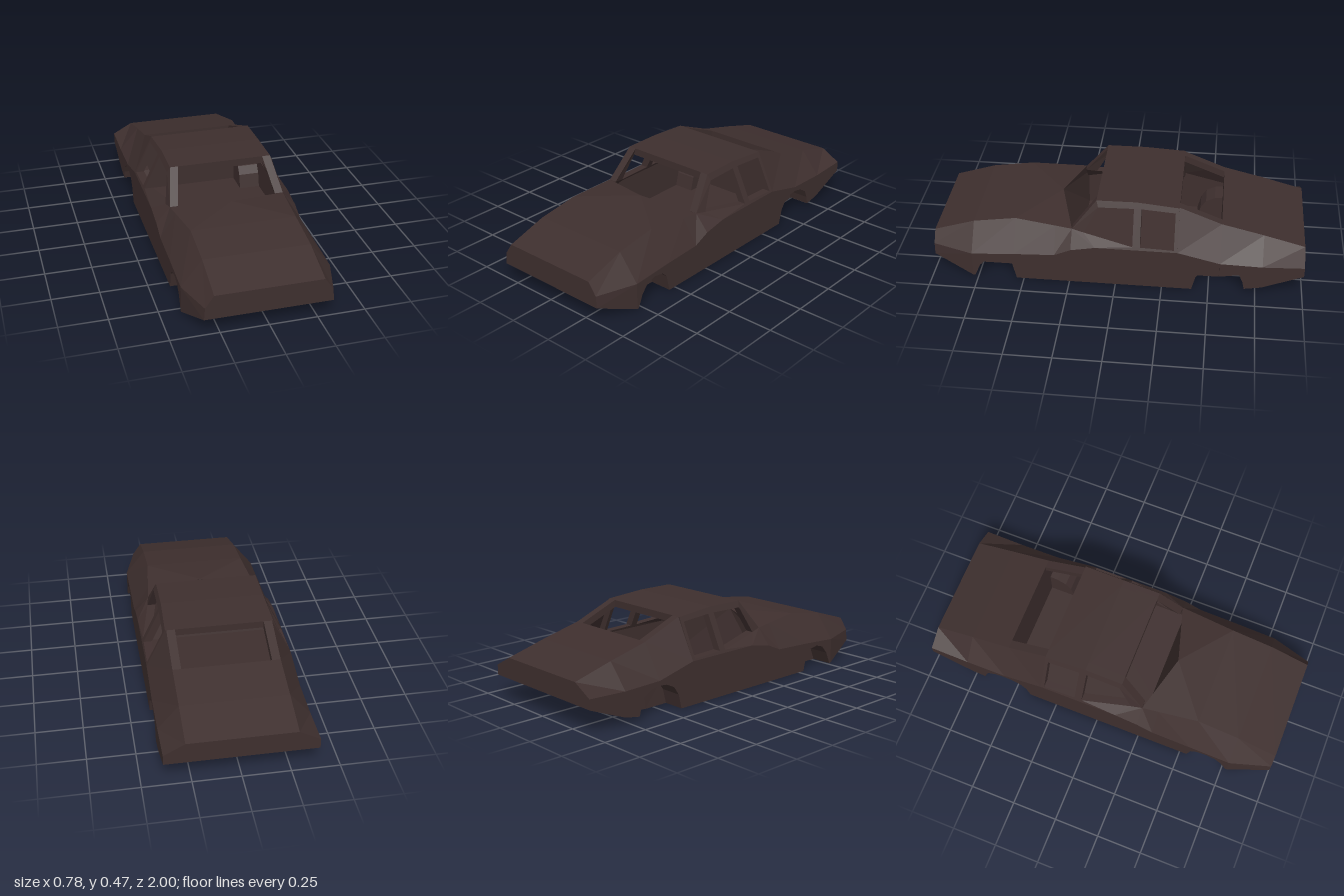
import * as THREE from 'three';

// body stations from nose to tail: z, sill x, sill y, shoulder x, shoulder y, deck x, deck y
const STATIONS = [
  [1, 0.33, 0.085, 0.325, 0.15, 0.28, 0.215],
  [0.78, 0.39, 0, 0.39, 0.145, 0.28, 0.285],
  [0.55, 0.39, 0, 0.39, 0.16, 0.28, 0.32],
  [0.33, 0.39, 0, 0.39, 0.17, 0.305, 0.304],
  [0.24, 0.39, 0, 0.39, 0.21, 0.315, 0.297],
  [0.11, 0.39, 0, 0.39, 0.235, 0.28, 0.465],
  [-0.33, 0.39, 0, 0.39, 0.235, 0.28, 0.45],
  [-0.555, 0.39, 0, 0.39, 0.18, 0.28, 0.36],
  [-0.78, 0.39, 0.04, 0.39, 0.175, 0.28, 0.305],
  [-1, 0.39, 0.13, 0.39, 0.185, 0.28, 0.245],
];
// wheel arches as (z, y), front to back
const FRONT_ARCH = [[0.77, 0], [0.74, 0.07], [0.7, 0.115], [0.65, 0.13], [0.59, 0.12], [0.56, 0.09], [0.54, 0]];
const REAR_ARCH = [[-0.41, 0], [-0.43, 0.08], [-0.46, 0.125], [-0.51, 0.15], [-0.56, 0.155],
  [-0.61, 0.145], [-0.66, 0.115], [-0.68, 0.07], [-0.69, 0.025]];
const WELL_X = 0.27;
const OUTER_X = 0.39;

const paint = new THREE.MeshStandardMaterial({ color: 0x3e2f2e, side: THREE.DoubleSide, flatShading: true });
paint.name = 'dark brown paint';

const shapeOf = (pts) => new THREE.Shape(pts.map(([a, b]) => new THREE.Vector2(a, b)));

function addMesh(group, name, geometry) {
  const flat = geometry.index ? geometry.toNonIndexed() : geometry;
  flat.computeVertexNormals();
  const mesh = new THREE.Mesh(flat, paint);
  mesh.name = name;
  group.add(mesh);
}

// convex flat faces, each a list of corners, fanned into triangles
function addFaces(group, name, faces) {
  const pos = [];
  for (const f of faces) {
    for (let i = 1; i < f.length - 1; i++) pos.push(...f[0], ...f[i], ...f[i + 1]);
  }
  const g = new THREE.BufferGeometry();
  g.setAttribute('position', new THREE.Float32BufferAttribute(pos, 3));
  addMesh(group, name, g);
}

// moves every vertex of a geometry by a rule
function remap(geometry, rule) {
  const p = geometry.attributes.position;
  for (let i = 0; i < p.count; i++) p.setXYZ(i, ...rule(p.getX(i), p.getY(i), p.getZ(i)));
  return geometry;
}

const sill = (s, k) => [k * s[1], s[2], s[0]];
const shoulder = (s, k) => [k * s[3], s[4], s[0]];
const deck = (s, k) => [k * s[5], s[6], s[0]];

// height of the underside along the length
function underY(z) {
  if (z > 0.78) return (z - 0.78) / 0.22 * 0.085;
  if (z > -0.555) return 0;
  if (z > -0.78) return (-0.555 - z) / 0.225 * 0.04;
  return 0.04 + (-0.78 - z) / 0.22 * 0.09;
}

// cabin wall leans inward from shoulder to roof and tucks in at the windscreen base
function cabinX(z, y) {
  if (y <= 0.236) return OUTER_X;
  if (z > 0.2) return 0.315;
  if (z > 0.15) return 0.325;
  return OUTER_X - 0.11 * (y - 0.235) / 0.23;
}

function addSide(group, k) {
  const S = STATIONS;
  const side = new THREE.Group();
  side.name = k > 0 ? 'leftSide' : 'rightSide';
  group.add(side);

  // lower flank with both wheel arches cut out
  const outline = [[0.78, 0], ...FRONT_ARCH, ...REAR_ARCH, [-0.78, 0.04], [-1, 0.13]];
  for (let i = S.length - 1; i >= 1; i--) outline.push([S[i][0], S[i][4]]);
  addMesh(side, 'flank', remap(new THREE.ShapeGeometry(shapeOf(outline)), (z, y) => [k * OUTER_X, y, z]));
  addFaces(side, 'noseFlank', [[sill(S[0], k), sill(S[1], k), shoulder(S[1], k), shoulder(S[0], k)]]);

  // sloping upper wings in front of and behind the cabin doors
  const wings = [];
  for (const i of [0, 1, 2, 3, 6, 7, 8]) {
    wings.push([shoulder(S[i], k), shoulder(S[i + 1], k), deck(S[i + 1], k), deck(S[i], k)]);
  }
  addFaces(side, 'upperWing', wings);

  // cabin wall with two open windows
  const wall = shapeOf([[0.24, 0.21], [0.11, 0.235], [-0.33, 0.235], [-0.33, 0.45], [-0.1, 0.467],
    [0.11, 0.465], [0.24, 0.297]]);
  wall.holes.push(shapeOf([[0.178, 0.285], [0.1, 0.432], [-0.09, 0.435], [-0.09, 0.25]]));
  wall.holes.push(shapeOf([[-0.13, 0.25], [-0.13, 0.435], [-0.31, 0.425], [-0.31, 0.245]]));
  const wallGeo = new THREE.ExtrudeGeometry(wall, { depth: 0.045, bevelEnabled: false });
  addMesh(side, 'cabinWall', remap(wallGeo, (z, y, d) => [k * (cabinX(z, y) - d), y, z]));

  // pillar beside the rear window
  const a = 0.235 * k, b = 0.28 * k;
  addFaces(side, 'rearPillar', [
    [[b, 0.45, -0.33], [a, 0.45, -0.33], [a, 0.36, -0.555], [b, 0.36, -0.555]],
    [[a, 0.45, -0.33], [a, 0.36, -0.555], [a, 0.32, -0.555], [a, 0.41, -0.33]],
    [[a, 0.41, -0.33], [a, 0.32, -0.555], [0.3 * k, 0.32, -0.555], [0.3 * k, 0.41, -0.33]],
  ]);

  // wheel wells: arched tunnel and inner wall
  for (const [name, arch] of [['frontWheelWell', FRONT_ARCH], ['rearWheelWell', REAR_ARCH]]) {
    const faces = [];
    for (let i = 0; i < arch.length - 1; i++) {
      const [z0, y0] = arch[i], [z1, y1] = arch[i + 1];
      faces.push([[k * OUTER_X, y0, z0], [k * OUTER_X, y1, z1], [k * WELL_X, y1, z1], [k * WELL_X, y0, z0]]);
    }
    addFaces(side, name, faces);
    const cap = arch === REAR_ARCH ? [...arch, [-0.555, 0]] : arch;
    addMesh(side, name + 'Wall', remap(new THREE.ShapeGeometry(shapeOf(cap)), (z, y) => [k * WELL_X, y, z]));
  }
}

export function createModel() {
  const car = new THREE.Group();
  car.name = 'carBody';
  const S = STATIONS;
  for (const k of [1, -1]) addSide(car, k);

  const across = (i, j) => [deck(S[i], -1), deck(S[i], 1), deck(S[j], 1), deck(S[j], -1)];
  const endFace = (s) => [sill(s, -1), sill(s, 1), shoulder(s, 1), deck(s, 1), deck(s, -1), shoulder(s, -1)];

  // bonnet rising to a central point at its rear edge
  const peak = [0, 0.335, 0.33];
  addFaces(car, 'bonnet', [across(0, 1), across(1, 2),
    [deck(S[2], -1), deck(S[2], 1), peak],
    [deck(S[2], 1), deck(S[4], 1), peak],
    [deck(S[4], -1), deck(S[2], -1), peak]]);
  addFaces(car, 'noseFace', [endFace(S[0])]);
  addFaces(car, 'rearDeck', [across(7, 8), across(8, 9)]);
  addFaces(car, 'tailFace', [endFace(S[9])]);

  // roof slab
  const roof = new THREE.ExtrudeGeometry(shapeOf([[0.11, 0.465], [-0.1, 0.467], [-0.33, 0.45],
    [-0.33, 0.412], [-0.1, 0.427], [0.11, 0.425]]), { depth: 0.5, bevelEnabled: false });
  addMesh(car, 'roof', remap(roof, (z, y, d) => [d - 0.25, y, z]));

  // walls closing the cabin at front and rear
  const front = [];
  for (const k of [1, -1]) {
    front.push([peak, deck(S[4], k), [k * 0.39, 0.21, 0.24], [k * 0.39, 0, 0.24], [0, 0, 0.24]]);
  }
  addFaces(car, 'firewall', front);
  addFaces(car, 'rearBulkhead', [[[-0.28, 0.36, -0.555], [0.28, 0.36, -0.555], [0.39, 0.18, -0.555],
    [WELL_X, 0, -0.555], [-WELL_X, 0, -0.555], [-0.39, 0.18, -0.555]]]);

  // underside in strips, narrowed between the wheel wells: z start, z end, half widths
  const strips = [[1, 0.78, 0.33, 0.39], [0.78, 0.77, 0.39, 0.39], [0.77, 0.54, WELL_X, WELL_X],
    [0.54, -0.41, 0.39, 0.39], [-0.41, -0.555, WELL_X, WELL_X], [-0.555, -0.69, WELL_X, WELL_X],
    [-0.69, -0.78, 0.39, 0.39], [-0.78, -1, 0.39, 0.39]];
  addFaces(car, 'underside', strips.map(([z0, z1, w0, w1]) => [
    [-w0, underY(z0), z0], [-w1, underY(z1), z1], [w1, underY(z1), z1], [w0, underY(z0), z0]]));

  return car;
}
